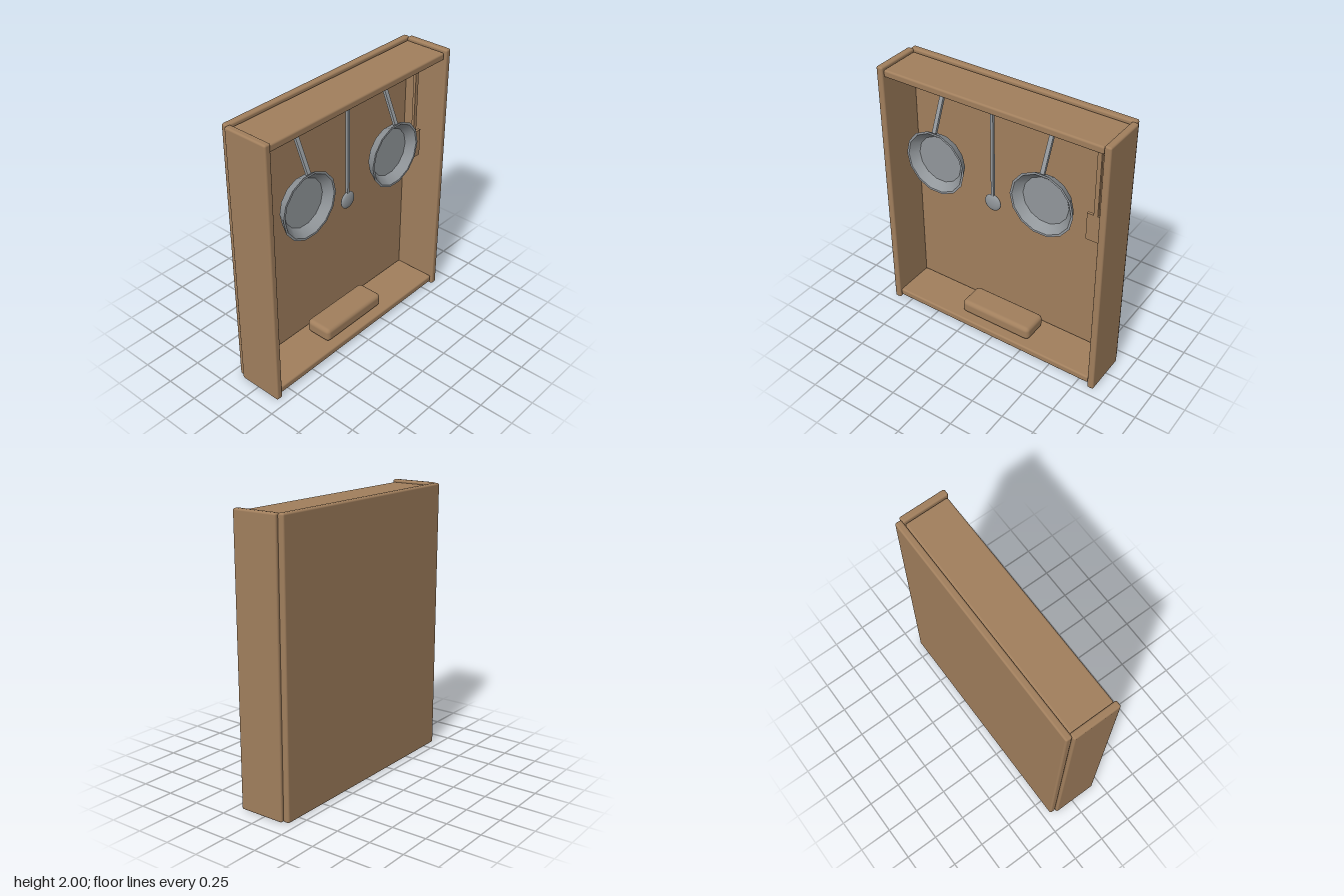
import * as THREE from 'three';
import { RoundedBoxGeometry } from 'three/addons/geometries/RoundedBoxGeometry.js';
import { toCreasedNormals } from 'three/addons/utils/BufferGeometryUtils.js';

export function createModel() {
  const model = new THREE.Group();
  model.name = 'utensilRack';
  const wood = new THREE.MeshStandardMaterial({ color: 0xa17f5d });
  wood.name = 'wood';
  const metal = new THREE.MeshStandardMaterial({ color: 0x92979b });
  metal.name = 'metal';

  const add = (name, geometry, material, x, y, z, parent = model) => {
    const mesh = new THREE.Mesh(geometry, material);
    mesh.name = name;
    mesh.position.set(x, y, z);
    parent.add(mesh);
    return mesh;
  };
  // Rounded board given by its min and max corners
  const board = (name, [x0, y0, z0], [x1, y1, z1], radius = 0.014) =>
    add(name, new RoundedBoxGeometry(x1 - x0, y1 - y0, z1 - z0, 2, radius), wood,
      (x0 + x1) / 2, (y0 + y1) / 2, (z0 + z1) / 2);

  // Cabinet
  board('backPanel', [-0.867, 0, -0.195], [0.865, 2, -0.146]);
  board('rightSide', [-0.887, 0, -0.15], [-0.837, 2, 0.193]);
  board('leftSide', [0.835, 0, -0.15], [0.885, 2, 0.193]);
  board('bottomShelf', [-0.837, 0.025, -0.142], [0.832, 0.08, 0.18]);
  board('topShelf', [-0.837, 1.927, -0.142], [0.832, 1.982, 0.18]);

  // Block lying on the bottom shelf
  board('block', [-0.295, 0.08, -0.09], [0.292, 0.19, 0.12], 0.034);

  // Pans: tapered bowl facing forward, handle leaning back to the top shelf
  const profile = [[0, 0], [0.195, 0], [0.242, 0.08], [0.226, 0.08], [0.176, 0.022], [0, 0.022]]
    .map(([r, h]) => new THREE.Vector2(r, h));
  const bowl = toCreasedNormals(new THREE.LatheGeometry(profile, 14, Math.PI / 14).rotateX(Math.PI / 2), 0.5);
  const top = new THREE.Vector3(0, 0.572, -0.075);
  const start = new THREE.Vector3(0, 0.235, 0.07);
  const handleDir = top.clone().sub(start);
  for (const [side, x] of [['right', -0.47], ['left', 0.385]]) {
    const pan = new THREE.Group();
    pan.name = side + 'Pan';
    pan.position.set(x, 1.36, 0.06);
    model.add(pan);
    add('panBowl', bowl, metal, 0, 0, 0, pan);
    const mid = start.clone().add(top).multiplyScalar(0.5);
    const handle = add('panHandle', new THREE.BoxGeometry(0.03, handleDir.length(), 0.02), metal,
      mid.x, mid.y, mid.z, pan);
    handle.rotation.x = Math.atan2(handleDir.z, handleDir.y);
  }

  // Spoon
  add('spoonHandle', new THREE.BoxGeometry(0.02, 0.72, 0.02), metal, -0.037, 1.575, 0.073);
  add('spoonBowl', new THREE.SphereGeometry(0.064, 24, 12).scale(1, 1, 0.3), metal, -0.037, 1.17, 0.073);

  // Spatula
  add('spatulaHandle', new THREE.BoxGeometry(0.03, 0.59, 0.02), wood, 0.73, 1.64, 0.025);
  add('spatulaBlade', new THREE.BoxGeometry(0.128, 0.208, 0.02), wood, 0.731, 1.248, 0.025);

  return model;
}
